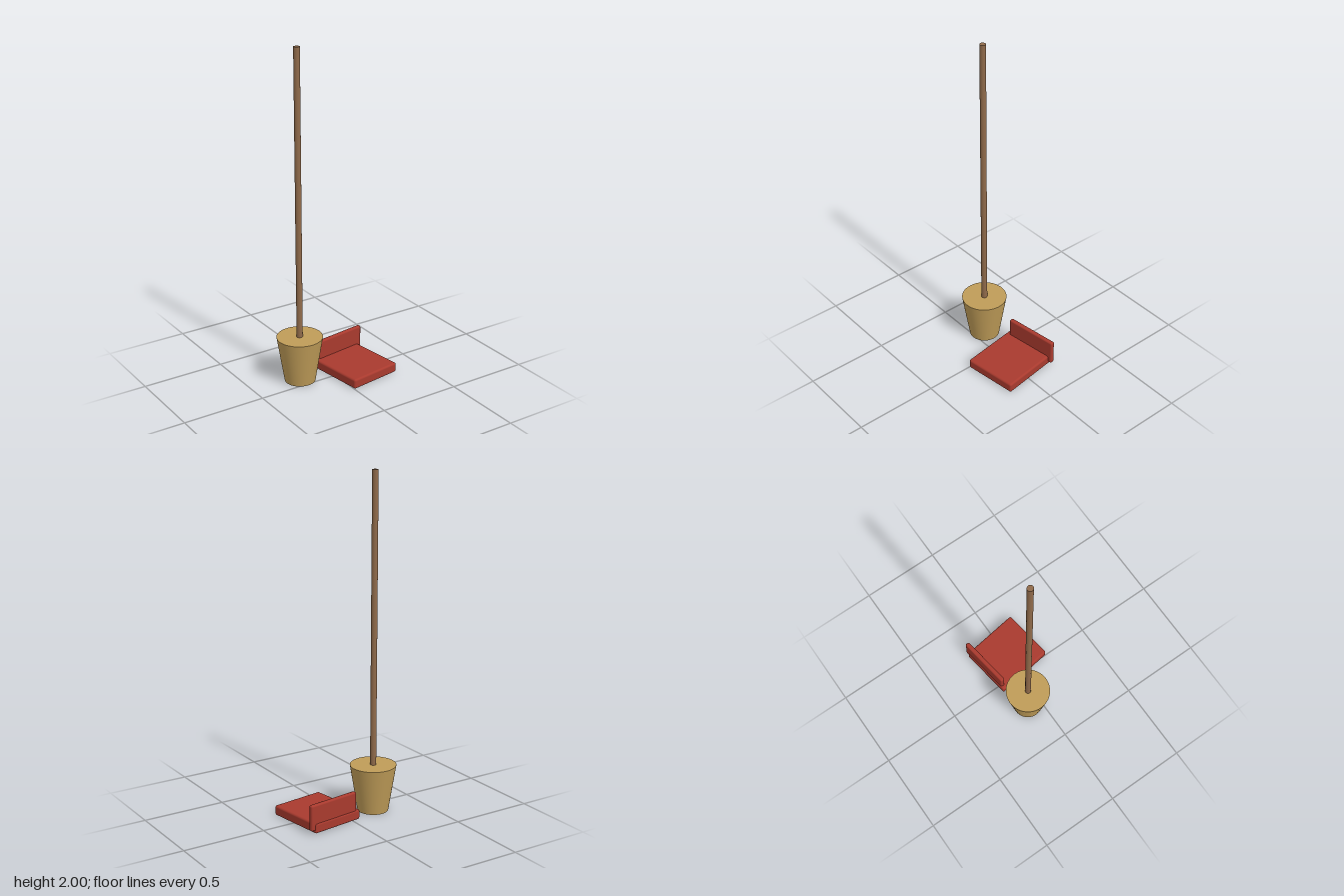
import * as THREE from 'three';
import { RoundedBoxGeometry } from 'three/addons/geometries/RoundedBoxGeometry.js';

export function createModel() {
  const model = new THREE.Group();
  model.name = 'broomAndDustpan';

  const paint = (color) => new THREE.MeshStandardMaterial({ color });
  const straw = paint(0xbf9c58);
  const wood = paint(0x8f6a4a);
  const red = paint(0xa93a2e);

  const add = (parent, name, geometry, material, x, y, z) => {
    const mesh = new THREE.Mesh(geometry, material);
    mesh.name = name;
    mesh.position.set(x, y, z);
    parent.add(mesh);
    return mesh;
  };

  // Upright broom: tapered bristle head and a long thin handle
  const broom = new THREE.Group();
  broom.name = 'broom';
  broom.position.set(-0.198, 0, -0.075);
  add(broom, 'bristles', new THREE.CylinderGeometry(0.136, 0.091, 0.28, 48), straw, 0, 0.14, 0);
  add(broom, 'handle', new THREE.CylinderGeometry(0.018, 0.018, 1.74, 24), wood, 0, 1.13, 0);
  model.add(broom);

  // Dustpan: a flat tray and a back wall, both turned by the same small angle
  const dustpan = new THREE.Group();
  dustpan.name = 'dustpan';
  const turn = 0.14;
  add(dustpan, 'tray', new RoundedBoxGeometry(0.334, 0.06, 0.372, 4, 0.012),
    red, 0.14, 0.03, 0.002).rotation.y = turn;
  add(dustpan, 'backWall', new RoundedBoxGeometry(0.335, 0.154, 0.028, 4, 0.01),
    red, 0.14, 0.095, -0.167).rotation.y = turn;
  model.add(dustpan);

  return model;
}
